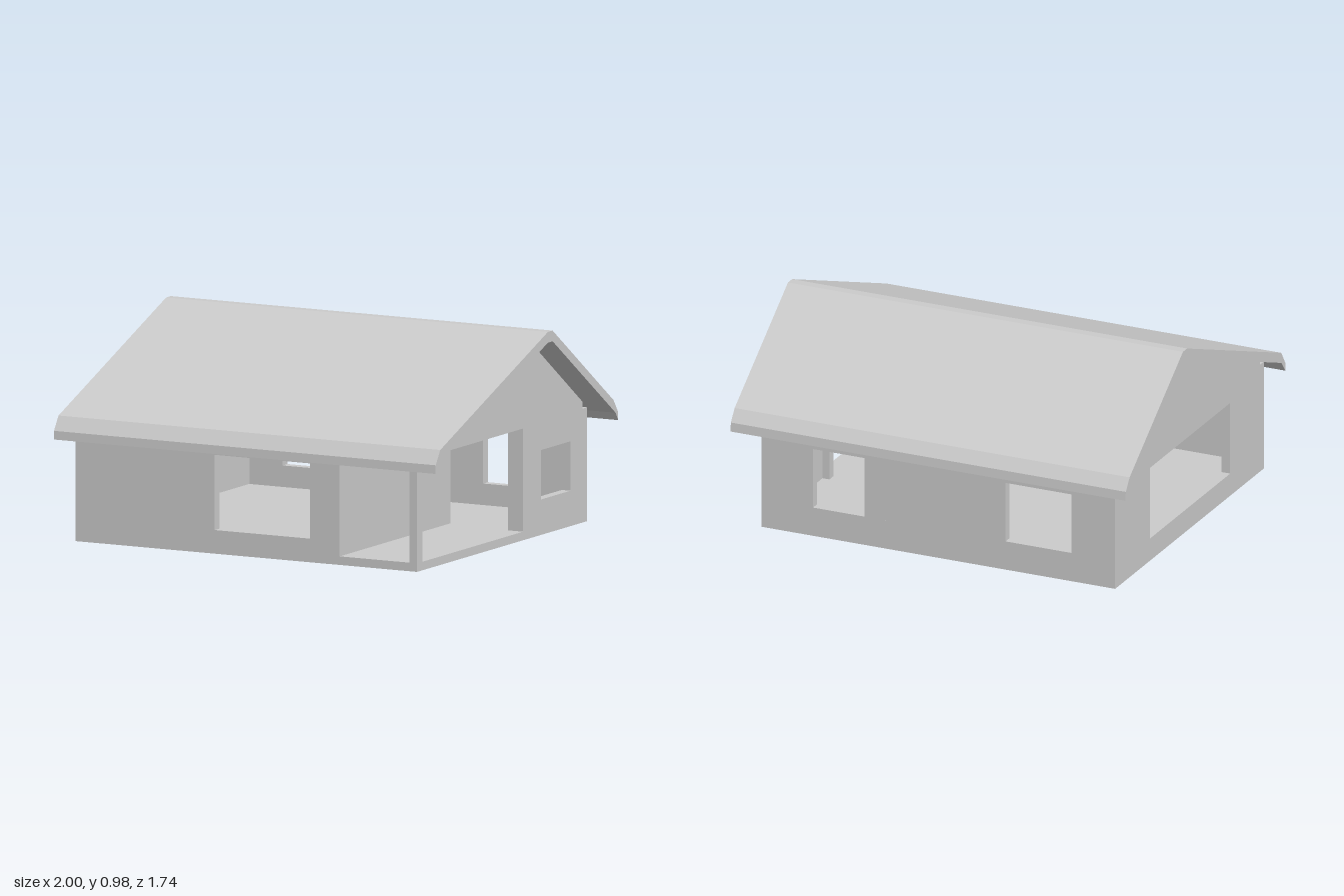
import * as THREE from 'three';

const material = new THREE.MeshStandardMaterial({ color: 0xcccccc, flatShading: true });
const T = 0.045; // wall thickness

function rectHole([u0, u1, v0, v1]) {
  const p = new THREE.Path();
  p.moveTo(u0, v0).lineTo(u0, v1).lineTo(u1, v1).lineTo(u1, v0).closePath();
  return p;
}

function outline(points, holes = []) {
  const s = new THREE.Shape(points.map(([u, v]) => new THREE.Vector2(u, v)));
  s.holes = holes.map(rectHole);
  return s;
}

const rect = (u0, u1, v0, v1) => [[u0, v0], [u1, v0], [u1, v1], [u0, v1]];

export function createModel() {
  const house = new THREE.Group();
  house.name = 'house';

  const add = (name, geometry) => {
    const mesh = new THREE.Mesh(geometry, material);
    mesh.name = name;
    house.add(mesh);
    return mesh;
  };
  const box = (name, x0, x1, y0, y1, z0, z1) =>
    add(name, new THREE.BoxGeometry(x1 - x0, y1 - y0, z1 - z0))
      .position.set((x0 + x1) / 2, (y0 + y1) / 2, (z0 + z1) / 2);
  // Panel drawn in (x, y), from z0 towards the front
  const panelZ = (name, points, holes, z0, depth = T) =>
    add(name, new THREE.ExtrudeGeometry(outline(points, holes), { depth, bevelEnabled: false }))
      .position.z = z0;
  // Panel drawn in (z, y), from x0 towards +x
  const panelX = (name, points, holes, x0, depth = T) => {
    const g = new THREE.ExtrudeGeometry(outline(points, holes), { depth, bevelEnabled: false });
    g.rotateY(-Math.PI / 2);
    add(name, g).position.x = x0 + depth;
  };

  // Floor and ceiling
  box('floorSlab', -0.92, 0.87, 0, 0.04, -0.81, 0.81);
  box('ceiling', -0.92 + T, 0.87 - T, 0.52, 0.555, -0.765, 0.765);

  // Front and back walls with their windows
  panelZ('frontWall', rect(-0.92, 0.42, 0.04, 0.53), [[-0.19, 0.31, 0.11, 0.46]], 0.81 - T);
  panelZ('backWall', rect(-0.92, 0.87, 0.04, 0.53),
    [[0.35, 0.61, 0.14, 0.43], [-0.70, -0.365, 0.14, 0.43]], -0.81);

  // Side walls; the +x side is open along the porch
  panelX('windowSideWall', rect(-0.765, 0.765, 0.04, 0.52), [[-0.43, 0.44, 0.11, 0.46]], -0.92);
  panelX('porchSideWall', rect(-0.765, -0.2, 0.04, 0.52), [[-0.65, -0.37, 0.165, 0.395]], 0.87 - T);

  // Porch: corner post, front lintel, inner wall and the short return at its back
  box('porchPost', 0.83, 0.87, 0.04, 0.53, 0.76, 0.81);
  box('porchLintel', 0.42, 0.83, 0.515, 0.53, 0.765, 0.81);
  box('porchInnerWall', 0.42, 0.465, 0.04, 0.52, -0.245, 0.81);
  box('porchReturn', 0.79, 0.87 - T, 0.04, 0.52, -0.245, -0.2);

  // Gables
  const gable = [[0.765, 0.52], [0.765, 0.553], [-0.2, 0.93], [-0.245, 0.93], [-0.765, 0.563], [-0.765, 0.52]];
  for (const x of [-0.92, 0.87 - T]) panelX('gable', gable, [], x);

  // Roof shell with a flat ridge and turned-down eaves
  const roof = [
    [0.87, 0.475], [0.868, 0.515], [0.825, 0.58], [-0.2, 0.98], [-0.245, 0.98],
    [-0.825, 0.572], [-0.866, 0.515], [-0.87, 0.472],
    [-0.845, 0.51], [-0.245, 0.93], [-0.2, 0.93], [0.825, 0.53],
  ];
  panelX('roof', roof, [], -1, 2);

  return house;
}
